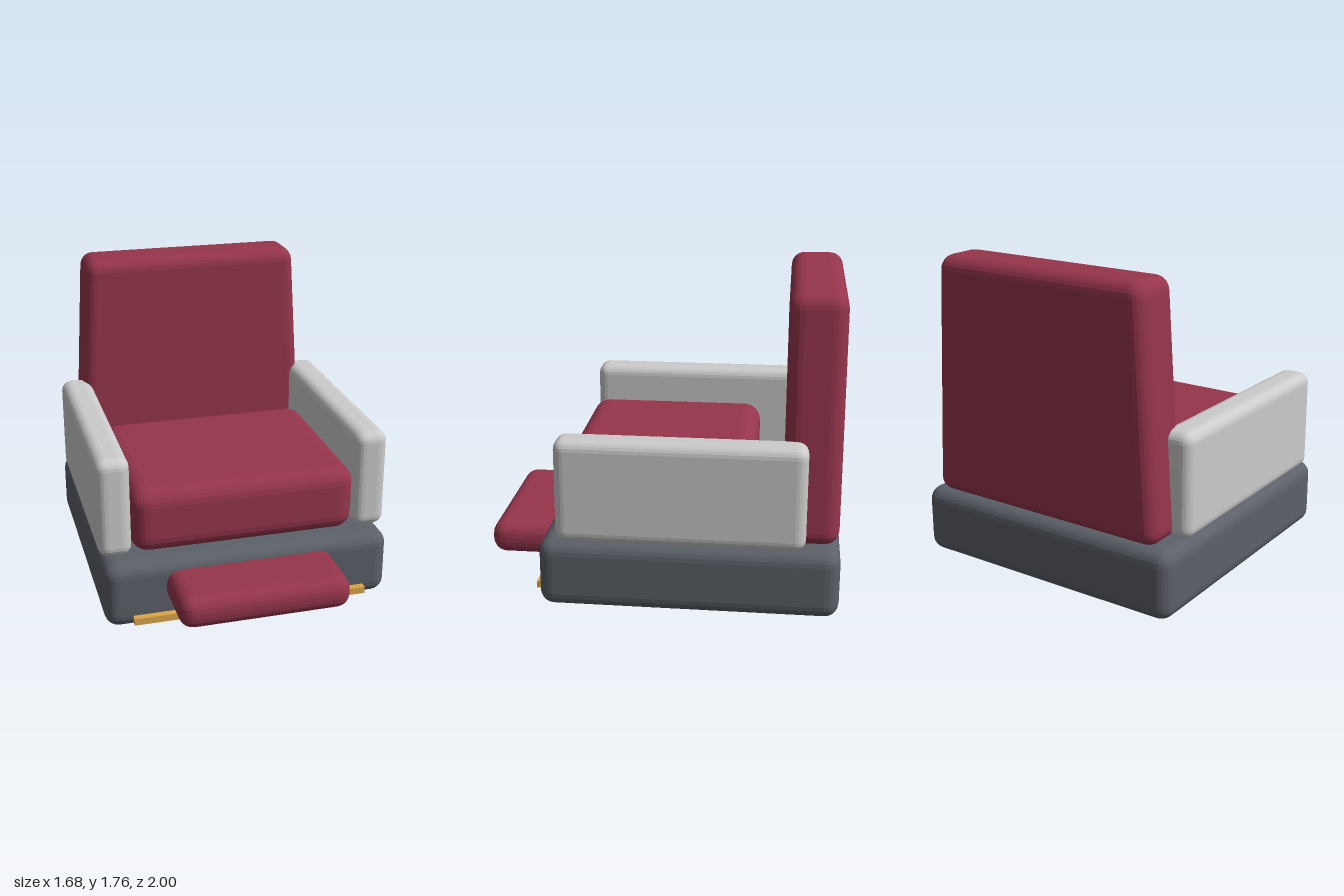
import * as THREE from 'three';
import { RoundedBoxGeometry } from 'three/addons/geometries/RoundedBoxGeometry.js';

const paint = (color) => new THREE.MeshStandardMaterial({ color, flatShading: true });

export function createModel() {
  const group = new THREE.Group();
  const red = paint(0x96354c);
  const slate = paint(0x5c6068);
  const gold = paint(0xdba64a);
  const grey = paint(0xcccccc);

  // Adds a block between two corners; a radius rounds its edges.
  function block(name, material, [x0, y0, z0], [x1, y1, z1], radius = 0) {
    const size = [x1 - x0, y1 - y0, z1 - z0];
    const geometry = radius
      ? new RoundedBoxGeometry(...size, 3, radius)
      : new THREE.BoxGeometry(...size);
    const mesh = new THREE.Mesh(geometry, material);
    mesh.name = name;
    mesh.position.set((x0 + x1) / 2, (y0 + y1) / 2, (z0 + z1) / 2);
    group.add(mesh);
    return mesh;
  }

  block('base', slate, [-0.83, 0, -1], [0.83, 0.39, 0.65], 0.08);
  block('seatCushion', red, [-0.65, 0.39, -0.51], [0.65, 0.78, 0.56], 0.1);
  block('footrest', red, [-0.485, 0.14, 0.5], [0.485, 0.33, 1], 0.08);
  block('trimStrip', gold, [-0.68, 0.04, 0.6], [0.68, 0.08, 0.69]);

  // Armrests, mirrored
  block('leftArmrest', grey, [0.65, 0.395, -0.81], [0.84, 0.98, 0.55], 0.06);
  block('rightArmrest', grey, [-0.84, 0.395, -0.81], [-0.65, 0.98, 0.55], 0.06);

  // Backrest, narrowing towards the top
  const back = block('backrest', red, [-0.745, 0.39, -0.99], [0.745, 1.76, -0.68], 0.08);
  const p = back.geometry.attributes.position;
  for (let i = 0; i < p.count; i++) {
    const t = p.getY(i) / 1.37 + 0.5;
    p.setX(i, p.getX(i) * (1 - 0.115 * t));
  }
  back.geometry.computeVertexNormals();

  return group;
}
